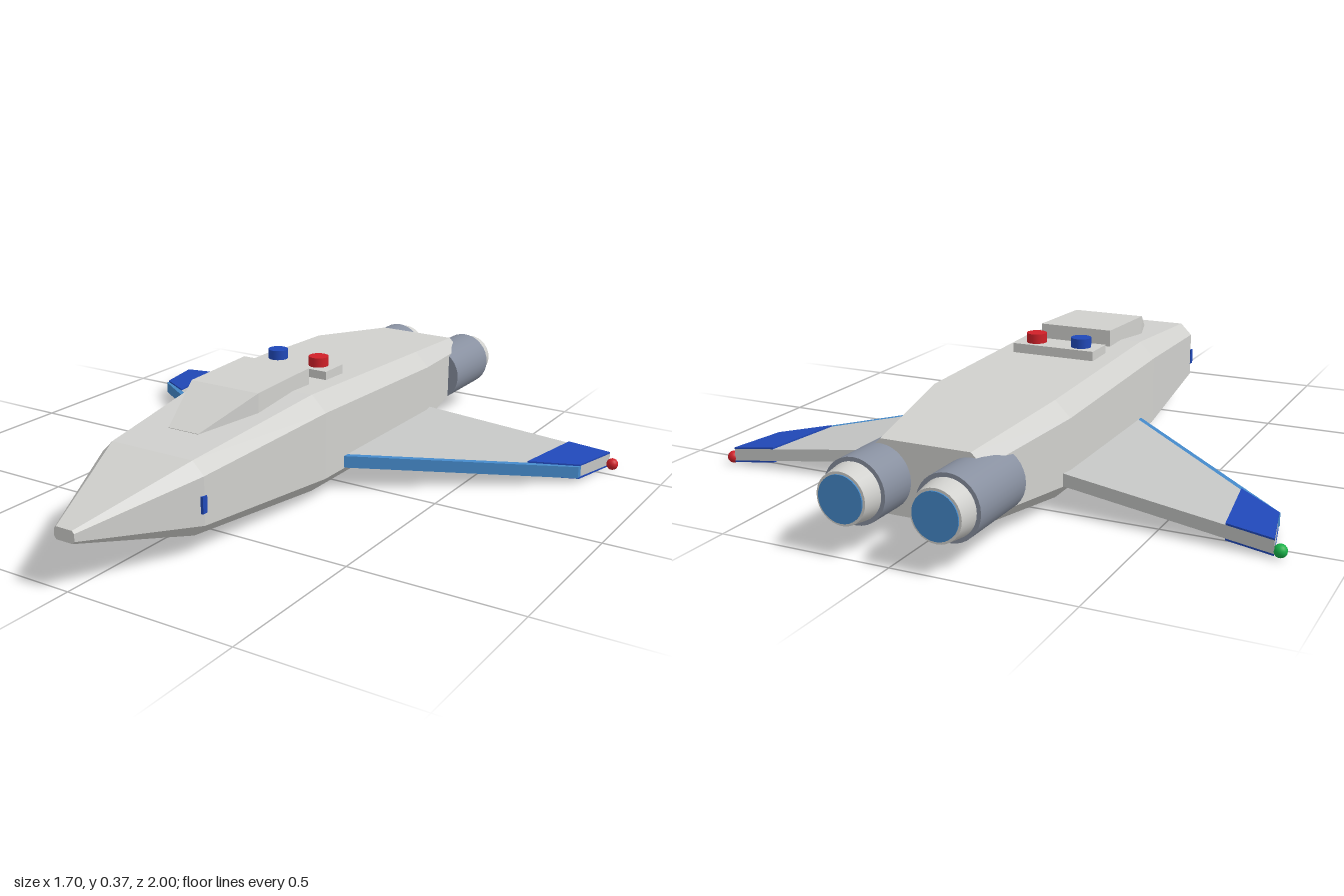
import * as THREE from 'three';

const mat = (name, color) => {
  const m = new THREE.MeshStandardMaterial({ color });
  m.name = name;
  return m;
};

// Skin convex rings of [x, y, z] points, capped at both ends, with flat faces.
// Rings run counter-clockwise seen from the last ring's side.
function loft(rings) {
  const pos = [];
  const tri = (...pts) => pts.forEach((p) => pos.push(...p));
  const n = rings[0].length;
  for (let i = 0; i + 1 < rings.length; i++) {
    for (let j = 0; j < n; j++) {
      const k = (j + 1) % n;
      const [a, b, c, d] = [rings[i][j], rings[i][k], rings[i + 1][k], rings[i + 1][j]];
      tri(a, b, c);
      tri(a, c, d);
    }
  }
  const first = rings[0], last = rings[rings.length - 1];
  for (let j = 1; j + 1 < n; j++) {
    tri(first[0], first[j + 1], first[j]);
    tri(last[0], last[j], last[j + 1]);
  }
  const geo = new THREE.BufferGeometry();
  geo.setAttribute('position', new THREE.Float32BufferAttribute(pos, 3));
  geo.computeVertexNormals();
  return geo;
}

// Chamfered rectangular hull section
function section([z, w, y0, y1, c]) {
  return [
    [w, y0 + c, z], [w, y1 - c, z], [w - c, y1, z], [c - w, y1, z],
    [-w, y1 - c, z], [-w, y0 + c, z], [c - w, y0, z], [w - c, y0, z],
  ];
}

// Slab over a plan of [x, z] points, between two height rules; side -1 mirrors it
function slab(plan, low, high, side = 1) {
  const pts = side < 0 ? [...plan].reverse() : plan;
  return loft([low, high].map((h) => pts.map(([x, z]) => [x * side, h(x, z), z])));
}

export function createModel() {
  const hullGrey = mat('hullGrey', 0xd0d0cd);
  const wingGrey = mat('wingGrey', 0xc4c5c4);
  const engineGrey = mat('engineGrey', 0x8890a0);
  const paintBlue = mat('paintBlue', 0x2048b8);
  const glowBlue = mat('glowBlue', 0x4488c8);
  const red = mat('red', 0xd02028);
  const green = mat('green', 0x18b048);

  const model = new THREE.Group();
  model.name = 'spacecraft';
  const add = (name, geo, material, x = 0, y = 0, z = 0) => {
    const m = new THREE.Mesh(geo, material);
    m.name = name;
    m.position.set(x, y, z);
    model.add(m);
    return m;
  };

  // Hull: z, half width, bottom, top, chamfer
  add('hull', loft([
    [-0.82, 0.165, 0.055, 0.255, 0.035],
    [-0.46, 0.23, 0.024, 0.298, 0.045],
    [0.16, 0.226, 0.023, 0.317, 0.047],
    [0.66, 0.17, 0.057, 0.266, 0.036],
    [1.0, 0.033, 0.135, 0.17, 0.007],
  ].map(section)), hullGrey);

  // Canopy: flat roof with a sloping, narrowing front
  const canopy = (z, w, top) => [[w, 0.25, z], [w, top, z], [-w, top, z], [-w, 0.25, z]];
  add('canopy', loft([
    canopy(0.075, 0.115, 0.364), canopy(0.335, 0.115, 0.356), canopy(0.525, 0.05, 0.281),
  ]), hullGrey);

  // Plate with two round beacons behind the canopy
  add('beaconPlate', new THREE.BoxGeometry(0.26, 0.045, 0.095), hullGrey, 0, 0.315, -0.042);
  const beacon = new THREE.CylinderGeometry(0.03, 0.03, 0.03, 24);
  add('rightBeacon', beacon, paintBlue, -0.073, 0.351, -0.045);
  add('leftBeacon', beacon, red, 0.073, 0.351, -0.045);

  // Wing heights and edges as rules of the distance from the centre line
  const top = (x) => 0.108 - 0.104 * (x - 0.23);
  const bottom = (x) => top(x) - 0.036;
  const lead = (x) => 0.055 - 0.784 * (x - 0.23);
  const trail = (x) => -0.495 - 0.102 * (x - 0.23);
  const inset = 0.02;
  const root = 0.15, tipFront = 0.785, tipBack = 0.82;
  const wingPlan = [
    [root, lead(root) - inset], [tipFront, lead(tipFront) - inset],
    [tipBack, trail(tipBack)], [root, trail(root)],
  ];
  const edgePlan = [
    [root, lead(root)], [tipFront, lead(tipFront)],
    [tipFront, lead(tipFront) - inset], [root, lead(root) - inset],
  ];
  const paintPlan = [
    [0.655, lead(0.655) - inset], [tipFront, lead(tipFront) - inset / 2],
    [tipBack, trail(tipBack)], [0.69, trail(0.69)],
  ];

  const engineBody = new THREE.CylinderGeometry(0.089, 0.089, 0.233, 32).rotateX(Math.PI / 2);
  const nozzle = new THREE.CylinderGeometry(0.078, 0.07, 0.06, 32).rotateX(Math.PI / 2);
  const glow = new THREE.CylinderGeometry(0.063, 0.063, 0.009, 32).rotateX(Math.PI / 2);
  const lamp = new THREE.SphereGeometry(0.018, 16, 12);

  for (const side of [1, -1]) {
    const s = side > 0 ? 'left' : 'right';
    // Wing, leading edge, painted tip and navigation light
    add(s + 'Wing', slab(wingPlan, bottom, top, side), wingGrey);
    add(s + 'LeadingEdge', slab(edgePlan, bottom, top, side), glowBlue);
    add(s + 'TipPaintTop', slab(paintPlan, top, (x) => top(x) + 0.005, side), paintBlue);
    add(s + 'TipPaintBottom', slab(paintPlan, (x) => bottom(x) - 0.005, bottom, side), paintBlue);
    add(s + 'NavigationLight', lamp, side > 0 ? red : green, side * 0.833, 0.018, -0.545);

    // Engine
    add(s + 'Engine', engineBody, engineGrey, side * 0.132, 0.153, -0.822);
    add(s + 'Nozzle', nozzle, hullGrey, side * 0.132, 0.153, -0.966);
    add(s + 'ExhaustGlow', glow, glowBlue, side * 0.132, 0.153, -0.9955);

    // Small nose marking
    add(s + 'NoseMark', new THREE.BoxGeometry(0.009, 0.048, 0.018), paintBlue,
      side * 0.169, 0.153, 0.662);
  }
  return model;
}
